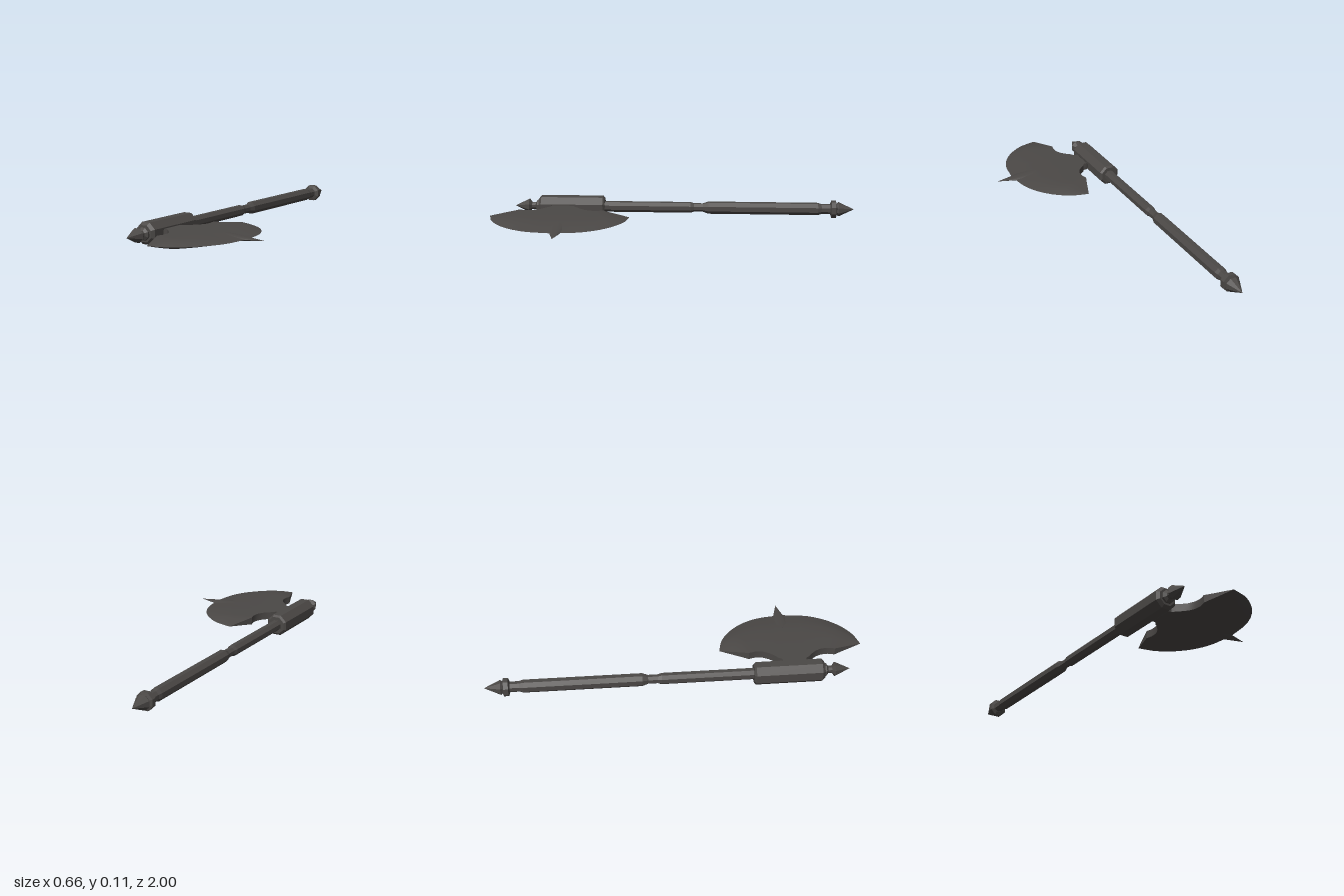
import * as THREE from 'three';
import { toCreasedNormals } from 'three/addons/utils/BufferGeometryUtils.js';

const SHAFT_X = -0.278, MID_Y = 0.056, BLADE_Z = 0.617, THICK = 0.02;

export function createModel() {
  const group = new THREE.Group();
  const darkIron = new THREE.MeshStandardMaterial({ color: 0x4b4846 });
  darkIron.name = 'darkIron';

  function add(name, geometry, x, y, z) {
    const mesh = new THREE.Mesh(geometry, darkIron);
    mesh.name = name;
    mesh.position.set(x, y, z);
    group.add(mesh);
  }

  // Eight-sided turned part along z; profile holds [half width across flats, z]
  function turned(name, profile) {
    const pts = profile.map(([r, z]) => new THREE.Vector2(r / Math.cos(Math.PI / 8), z));
    const geo = new THREE.LatheGeometry(pts, 8, Math.PI / 8).rotateX(Math.PI / 2);
    add(name, toCreasedNormals(geo, 0.15), SHAFT_X, MID_Y, 0);
  }

  turned('pommel', [[0, -1], [0.037, -0.915], [0.03, -0.905], [0.045, -0.9],
    [0.045, -0.875], [0.028, -0.868], [0, -0.868]]);
  turned('grip', [[0, -0.87], [0.026, -0.87], [0.026, -0.82], [0.032, -0.8],
    [0.032, -0.19], [0.022, -0.16], [0, -0.16]]);
  turned('shaft', [[0, -0.165], [0.022, -0.165], [0.022, -0.11], [0.028, -0.09],
    [0.028, 0.41], [0, 0.41]]);
  turned('headSocket', [[0, 0.39], [0.046, 0.39], [0.056, 0.4], [0.056, 0.745],
    [0.042, 0.76], [0, 0.76]]);
  turned('topFinial', [[0, 0.75], [0.032, 0.75], [0.032, 0.77], [0.018, 0.78],
    [0.018, 0.8], [0.036, 0.815], [0, 0.895]]);

  // Cutting edge of one half, from horn tip to centre line
  const edge = new THREE.CatmullRomCurve3(
    [[-0.07, 0.235], [0.03, 0.262], [0.138, 0.345], [0.206, 0.46], [0.233, BLADE_Z]]
      .map(([x, z]) => new THREE.Vector3(x, 0, z)));

  // Inner rim of one half: x, z, half thickness, matching fraction of the cutting edge
  const rim = [
    [-0.07, 0.235, 0, 0], [-0.084, 0.272, 0.005, 0.08], [-0.098, 0.31, 0.01, 0.16],
    [-0.113, 0.35, 0.015, 0.24], [-0.127, 0.386, THICK, 0.32], [-0.118, 0.42, THICK, 0.4],
    [-0.121, 0.46, THICK, 0.5], [-0.137, 0.492, THICK, 0.58], [-0.163, 0.52, THICK, 0.66],
    [-0.18, 0.533, THICK, 0.72], [-0.193, 0.553, THICK, 0.78], [-0.212, 0.553, THICK, 0.82],
    [-0.223, 0.556, 0.009, 0.86], [-0.223, 0.585, 0.009, 0.93], [-0.223, BLADE_Z, 0.009, 1],
  ];

  // Closed cross-section from the edge along the underside to the rim and back on top
  function section([x, z, h, f]) {
    const o = edge.getPointAt(f);
    const full = THICK * Math.min(1, f / 0.32);
    const top = [[0, h], [0.025, full], [0.35, full], [0.68, full], [0.85, full * 0.53], [1, 0]]
      .map(([u, y]) => [x + (o.x - x) * u, y, z + (o.z - z) * u]);
    const bottom = top.slice(0, -1).reverse().map(([a, b, c]) => [a, -b, c]);
    return [top[top.length - 1], ...bottom, ...top];
  }
  const half = rim.map(section);
  const mirrored = half.slice(0, -1).reverse()
    .map(loop => loop.map(([x, y, z]) => [x, y, 2 * BLADE_Z - z]));
  const loops = [...half, ...mirrored];
  const n = loops[0].length, index = [];
  for (let t = 0; t < loops.length - 1; t++) {
    for (let i = 0; i < n - 1; i++) {
      const a = t * n + i, b = a + n;
      index.push(a, b, b + 1, a, b + 1, a + 1);
    }
  }
  const blade = new THREE.BufferGeometry();
  blade.setAttribute('position', new THREE.Float32BufferAttribute(loops.flat(2), 3));
  blade.setIndex(index);
  add('blade', toCreasedNormals(blade, 0.5), 0, MID_Y, 0);

  // Flattened spike growing out of the middle of the cutting edge
  const spike = new THREE.ConeGeometry(1, 0.238, 12).rotateZ(-Math.PI / 2);
  spike.scale(1, THICK, 0.066);
  add('edgeSpike', toCreasedNormals(spike, 0.6), 0.209, MID_Y, 0.602);

  return group;
}
